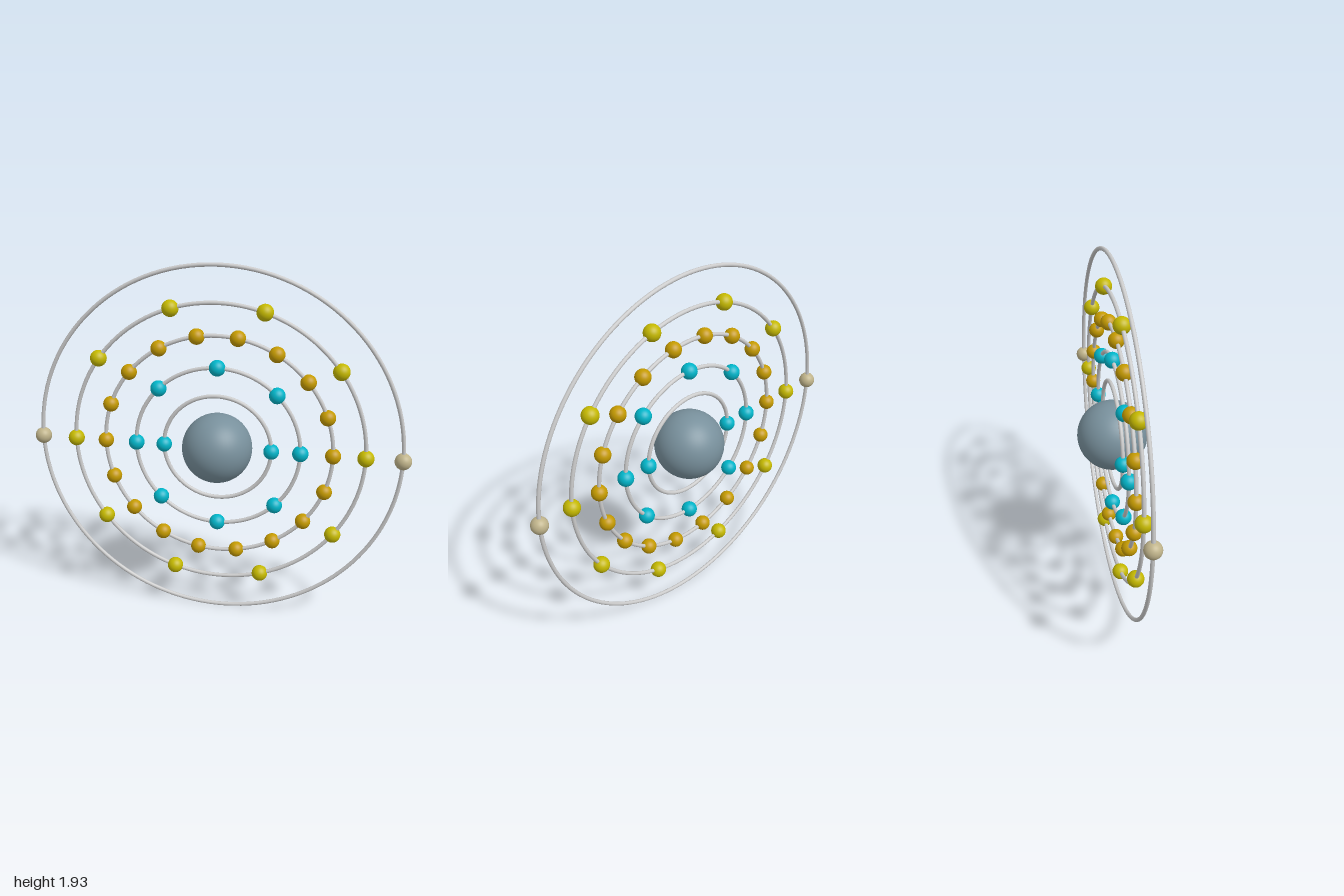
import * as THREE from 'three';

const CENTER_Y = 0.967;
const WIRE = 0.0105;

// Concentric shells: radius, number of balls, ball size and colour
const SHELLS = [
  { radius: 0.285, count: 2, size: 0.041, color: 0x00b4c8 },
  { radius: 0.436, count: 8, size: 0.042, color: 0x00b4c8 },
  { radius: 0.604, count: 18, size: 0.041, color: 0xc49a00 },
  { radius: 0.77, count: 10, size: 0.043, color: 0xc4b800 },
  { radius: 0.9565, count: 2, size: 0.0435, color: 0xbfb38a },
];

export function createModel() {
  const group = new THREE.Group();
  group.name = 'atomModel';

  const add = (geometry, material, name, parent, x = 0, y = 0) => {
    const mesh = new THREE.Mesh(geometry, material);
    mesh.name = name;
    mesh.position.set(x, y, 0);
    parent.add(mesh);
    return mesh;
  };

  const atom = new THREE.Group();
  atom.name = 'atom';
  atom.position.y = CENTER_Y;
  group.add(atom);

  // Central nucleus
  const nucleusMaterial = new THREE.MeshStandardMaterial({ color: 0x78909c });
  add(new THREE.SphereGeometry(0.184, 48, 32), nucleusMaterial, 'nucleus', atom);

  // Orbit rings, each with evenly spaced electrons starting on the +x side
  const ringMaterial = new THREE.MeshStandardMaterial({ color: 0xcccccc });
  SHELLS.forEach(({ radius, count, size, color }, i) => {
    const shell = new THREE.Group();
    shell.name = `shell${i + 1}`;
    atom.add(shell);

    add(new THREE.TorusGeometry(radius, WIRE, 12, 128), ringMaterial, 'orbitRing', shell);

    const ball = new THREE.SphereGeometry(size, 32, 20);
    const material = new THREE.MeshStandardMaterial({ color });
    for (let k = 0; k < count; k++) {
      const a = (k / count) * Math.PI * 2;
      add(ball, material, 'electron', shell, radius * Math.cos(a), radius * Math.sin(a));
    }
  });

  return group;
}
